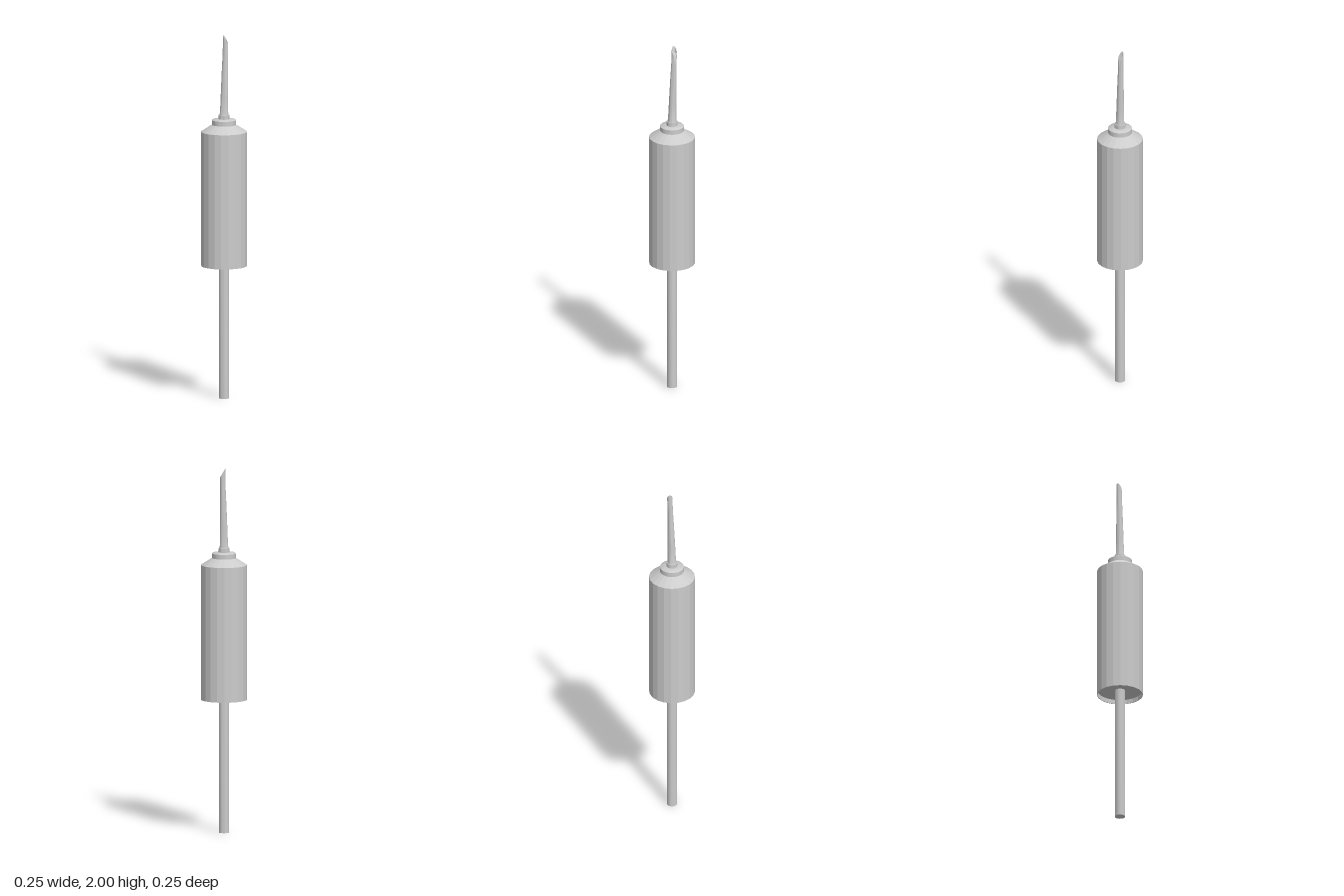
import * as THREE from 'three';
import { toCreasedNormals } from 'three/addons/utils/BufferGeometryUtils.js';

// Turned part from [radius, y] pairs, listed so that the surface faces outward
function turned(name, profile, sides, flat = false, reshape = null) {
  let geo = new THREE.LatheGeometry(profile.map(([r, y]) => new THREE.Vector2(r, y)), sides, Math.PI / sides);
  if (reshape) {
    const p = geo.attributes.position;
    const v = new THREE.Vector3();
    for (let i = 0; i < p.count; i++) {
      reshape(v.fromBufferAttribute(p, i));
      p.setXYZ(i, v.x, v.y, v.z);
    }
  }
  if (!flat) geo = toCreasedNormals(geo, 0.7);
  const mesh = new THREE.Mesh(geo, new THREE.MeshStandardMaterial({ color: 0xcccccc, flatShading: flat }));
  mesh.name = name;
  return mesh;
}

export function createModel() {
  const group = new THREE.Group();
  group.name = 'needleTool';

  // Straight rod below the body
  group.add(turned('lowerRod', [[0, 0], [0.028, 0], [0.028, 0.76], [0, 0.76]], 20));

  // Faceted barrel with a recessed underside and a sloping shoulder
  group.add(turned('body', [
    [0, 0.755], [0.122, 0.755], [0.122, 0.73], [0.125, 0.73],
    [0.125, 1.47], [0.066, 1.508], [0, 1.508],
  ], 20, true));

  // Smooth collar and the small ring around the needle root
  group.add(turned('collar', [
    [0, 1.5], [0.065, 1.5], [0.065, 1.534], [0.062, 1.537], [0.031, 1.54], [0, 1.54],
  ], 40));
  group.add(turned('rootRing', [[0, 1.53], [0.03, 1.53], [0.03, 1.562], [0, 1.562]], 32));

  // Tapered leaning needle: slanted tip with a shallow bore
  const bevel = 1.7;
  const needle = turned('needle', [
    [0.028, 1.55], [0.0225, 1.575], [0.021, 1.65], [0.0175, 1.8], [0.0145, 1.9],
    [0.0145, 1.975], [0.011, 1.975], [0.011, 1.95], [0, 1.95],
  ], 24, false, (v) => {
    if (v.y > 1.94) v.y -= bevel * v.x;
    const t = (v.y - 1.55) / 0.45;
    v.x += 0.006 * t;
    v.z -= 0.012 * t;
  });
  group.add(needle);

  return group;
}
